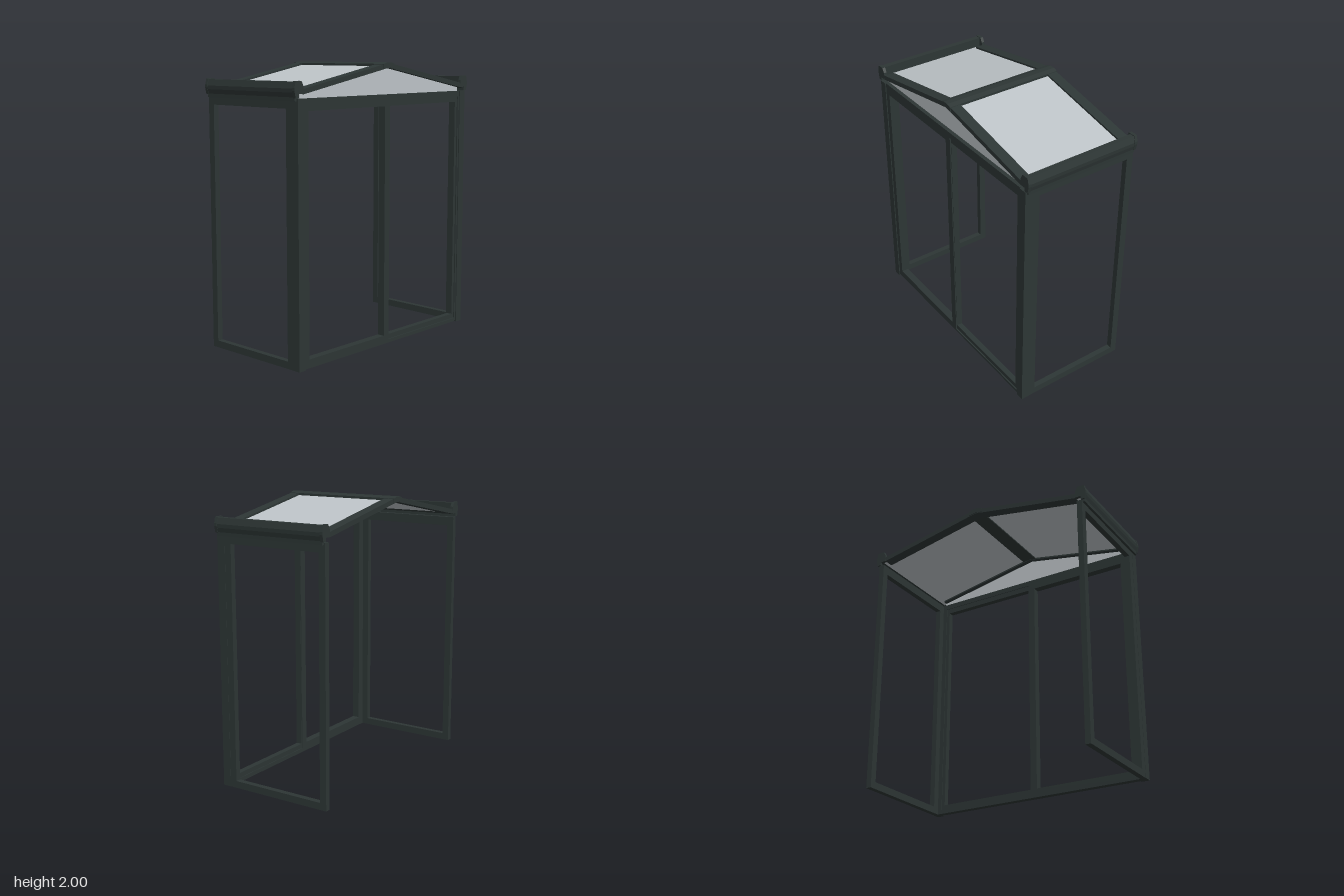
import * as THREE from 'three';

export function createModel() {
  const root = new THREE.Group();
  root.name = 'porch';
  const frameMat = new THREE.MeshStandardMaterial({ color: 0x2d3635 });
  frameMat.name = 'dark frame';
  const glassMat = new THREE.MeshStandardMaterial({ color: 0xbec4c8 });
  glassMat.name = 'pale glazing';

  const add = (name, geo, mat = frameMat, parent = root) => {
    const m = new THREE.Mesh(geo, mat);
    m.name = name;
    parent.add(m);
    return m;
  };

  // Box given by its limits
  const box = (x0, x1, y0, y1, z0, z1) =>
    new THREE.BoxGeometry(x1 - x0, y1 - y0, z1 - z0)
      .translate((x0 + x1) / 2, (y0 + y1) / 2, (z0 + z1) / 2);

  const rect = (x0, x1, y0, y1) =>
    [[x0, y0], [x1, y0], [x1, y1], [x0, y1]].map(p => new THREE.Vector2(...p));

  // Outline in x,y pushed along z, with optional openings
  const extrude = (pts, z0, z1, holes = []) => {
    const s = new THREE.Shape(pts.map(p => (p.isVector2 ? p : new THREE.Vector2(...p))));
    holes.forEach(h => s.holes.push(new THREE.Path(h)));
    return new THREE.ExtrudeGeometry(s, { depth: z1 - z0, bevelEnabled: false }).translate(0, 0, z0);
  };

  // Front: fixed frame with two openings, and a sliding leaf in one of them
  add('frontFrame', extrude(rect(-0.82, 0.82, 0.01, 1.78), 0.375, 0.43,
    [rect(-0.78, -0.03, 0.065, 1.70), rect(0.022, 0.805, 0.03, 1.74)]));
  add('slidingLeaf', extrude(rect(0.0, 0.82, 0.02, 1.75), 0.38, 0.422,
    [rect(0.025, 0.78, 0.065, 1.70)]));
  add('threshold', box(-0.83, 0.83, 0, 0.012, 0.375, 0.42));

  // Gable pane above the header
  add('gablePane', extrude([[-0.83, 1.78], [0.83, 1.78], [0.83, 1.82], [0, 1.98], [-0.83, 1.82]],
    0.394, 0.402), glassMat);

  // Gutter section: upright wall, rounded outer face and lower lip
  const gutter = [[0.875, 1.765], [0.895, 1.765], [0.896, 1.79], [0.904, 1.82], [0.906, 1.845],
    [0.894, 1.888], [0.857, 1.888], [0.857, 1.82], [0.876, 1.80]];
  const gutterCap = [[0.87, 1.785], [0.898, 1.785], [0.908, 1.83], [0.908, 1.85], [0.897, 1.893],
    [0.845, 1.893], [0.828, 1.86], [0.822, 1.81], [0.87, 1.81]];

  for (const side of [1, -1]) {
    const g = new THREE.Group();
    g.name = side > 0 ? 'leftSide' : 'rightSide';
    root.add(g);
    const flip = pts => pts.map(([x, y]) => [x * side, y]);
    const sx = (a, b) => (side > 0 ? [a, b] : [-b, -a]);

    // Corner post
    add('cornerPost', box(...sx(0.82, 0.88), 0, 1.78, 0.375, 0.437), frameMat, g);

    // Side frame, drawn flat and turned to face sideways
    const sideFrame = extrude(rect(-0.375, 0.435, 0, 1.78), -0.02, 0.02,
      [rect(-0.325, 0.385, 0.05, 1.715)]);
    sideFrame.rotateY(Math.PI / 2).translate(side * 0.858, 0, 0);
    add('sideFrame', sideFrame, frameMat, g);

    // Gutter with end caps
    add('gutter', extrude(flip(gutter), -0.425, 0.425), frameMat, g);
    for (const z of [0.414, -0.436])
      add('gutterCap', extrude(flip(gutterCap), z, z + 0.022), frameMat, g);

    // Roof pane
    add('roofPane', extrude(flip([[0, 1.985], [0.858, 1.822], [0.858, 1.813], [0, 1.976]]),
      -0.42, 0.42), glassMat, g);

    // Sloping rafters at front and back
    for (const z of [0.36, -0.435])
      add('rafter', extrude(flip([[0, 1.997], [0.825, 1.842], [0.825, 1.808], [0, 1.963]]),
        z, z + 0.075), frameMat, g);
  }

  // Ridge bar
  add('ridge', extrude([[-0.055, 1.957], [0, 1.966], [0.055, 1.957], [0.055, 1.99],
    [0.02, 2], [-0.02, 2], [-0.055, 1.99]], -0.44, 0.44));

  return root;
}
